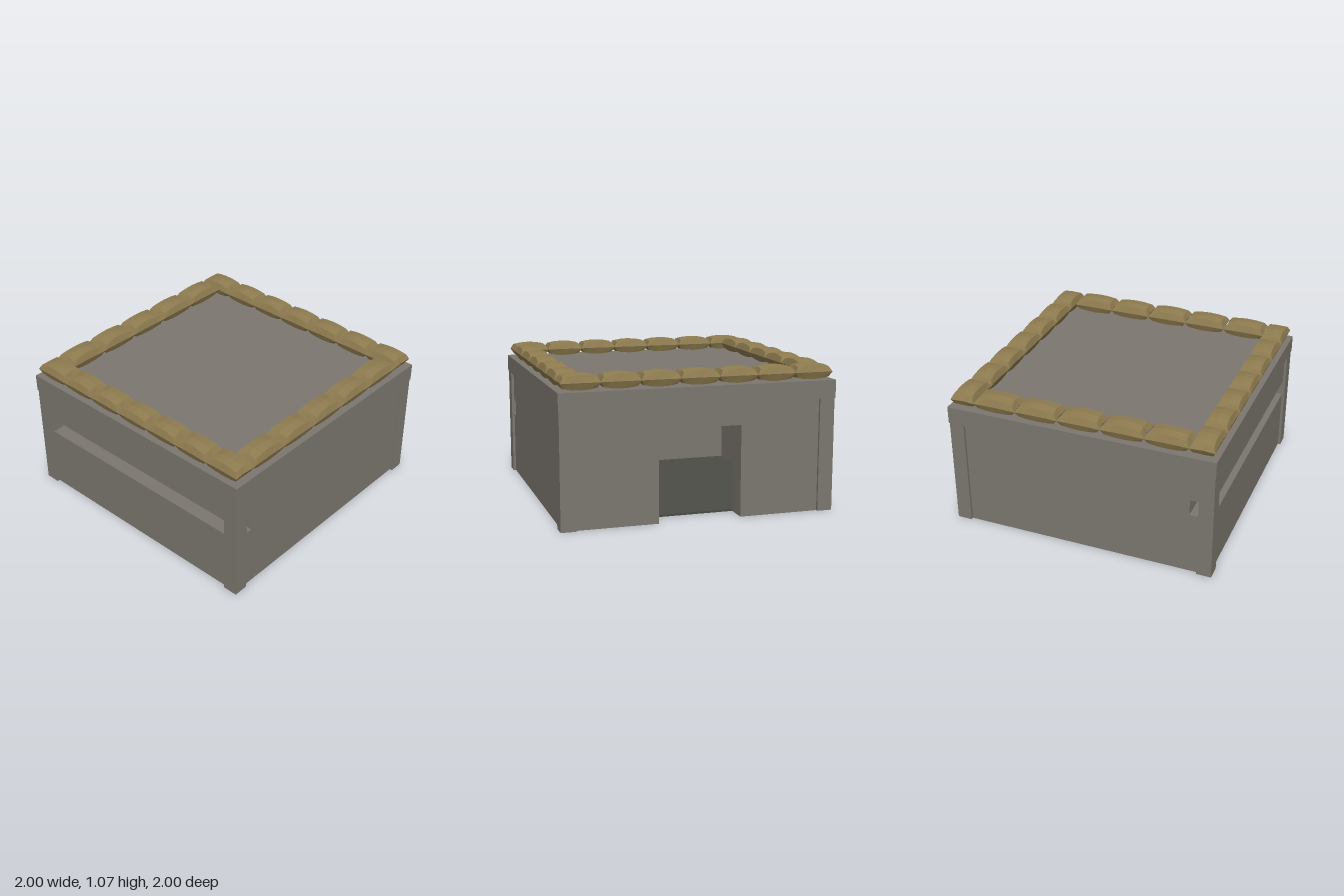
import * as THREE from 'three';

const OUT = 0.975, IN = 0.817;      // wall outer and inner faces
const ROOF_Y = 0.82, TOP_Y = 0.95;  // roof slab
const SLIT_LO = 0.475, SLIT_HI = 0.595;
const DOOR_X = 0.3, DOOR_Y = 0.66;

const concrete = new THREE.MeshStandardMaterial({ color: 0x7c7870 });
concrete.name = 'concrete';
const darkFloor = new THREE.MeshStandardMaterial({ color: 0x4b4c45 });
darkFloor.name = 'dark floor';
const burlap = new THREE.MeshStandardMaterial({ color: 0x8f7c50 });
burlap.name = 'burlap';

// Box given by its minimum and maximum on each axis
function block(name, [x0, x1], [y0, y1], [z0, z1], material = concrete) {
  const mesh = new THREE.Mesh(new THREE.BoxGeometry(x1 - x0, y1 - y0, z1 - z0), material);
  mesh.position.set((x0 + x1) / 2, (y0 + y1) / 2, (z0 + z1) / 2);
  mesh.name = name;
  return mesh;
}

// Faceted pillow: wide at mid height, drawn in and domed above and below
function sandbagGeometry(length, width, height) {
  const geometry = new THREE.BoxGeometry(2, 2, 2, 4, 2, 2);
  const p = geometry.attributes.position;
  for (let i = 0; i < p.count; i++) {
    const u = p.getX(i), h = p.getY(i), v = p.getZ(i);
    const endInset = 0.16 * h * h + 0.05 * (1 - v * v);
    const sideInset = 0.2 * h * h + 0.05 * (1 - u * u);
    const dome = 1 - 0.25 * u * u - 0.12 * v * v;
    p.setXYZ(i,
      u * (1 - endInset) * length / 2,
      h * dome * height / 2,
      v * (1 - sideInset) * width / 2);
  }
  const flat = geometry.toNonIndexed();
  flat.computeVertexNormals();
  return flat;
}

export function createModel() {
  const model = new THREE.Group();
  model.name = 'bunker';

  // Roof slab and floor
  model.add(block('roofSlab', [-1, 1], [ROOF_Y, TOP_Y], [-1, 1]));
  model.add(block('floor', [-IN, IN], [0, 0.015], [-IN, IN], darkFloor));

  // Corner posts
  for (const sx of [-1, 1]) {
    for (const sz of [-1, 1]) {
      const post = block('cornerPost', [-0.055, 0.055], [0, ROOF_Y], [-0.055, 0.055]);
      post.position.x = sx * 0.94;
      post.position.z = sz * 0.94;
      model.add(post);
    }
  }

  // Front wall, split by the firing slit that runs out to both sides
  model.add(block('frontWallLower', [-OUT, OUT], [0, SLIT_LO], [IN, OUT]));
  model.add(block('frontWallUpper', [-OUT, OUT], [SLIT_HI, ROOF_Y], [IN, OUT]));

  // Side walls
  model.add(block('leftWall', [IN, OUT], [0, ROOF_Y], [-OUT, IN]));
  model.add(block('rightWall', [-OUT, -IN], [0, ROOF_Y], [-OUT, IN]));

  // Back wall with the doorway
  const back = new THREE.Shape([
    [-IN, 0], [-DOOR_X, 0], [-DOOR_X, DOOR_Y], [DOOR_X, DOOR_Y],
    [DOOR_X, 0], [IN, 0], [IN, ROOF_Y], [-IN, ROOF_Y],
  ].map(([x, y]) => new THREE.Vector2(x, y)));
  const backWall = new THREE.Mesh(
    new THREE.ExtrudeGeometry(back, { depth: OUT - IN, bevelEnabled: false }), concrete);
  backWall.position.z = -OUT;
  backWall.name = 'backWall';
  model.add(backWall);

  // Sandbag parapet: seven bags front and back, five on each side
  const parapet = new THREE.Group();
  parapet.name = 'sandbagParapet';
  const longRowBag = sandbagGeometry(0.28, 0.18, 0.118);
  const sideRowBag = sandbagGeometry(0.32, 0.18, 0.118);
  function addRow(geometry, count, pitch, place) {
    for (let i = 0; i < count; i++) {
      const bag = new THREE.Mesh(geometry, burlap);
      bag.name = 'sandbag';
      place(bag, (i - (count - 1) / 2) * pitch);
      parapet.add(bag);
    }
  }
  for (const side of [-1, 1]) {
    addRow(longRowBag, 7, 0.28, (bag, t) => bag.position.set(t, 1.007, side * 0.89));
    addRow(sideRowBag, 5, 0.32, (bag, t) => {
      bag.position.set(side * 0.89, 1.007, t);
      bag.rotation.y = Math.PI / 2;
    });
  }
  model.add(parapet);

  return model;
}
